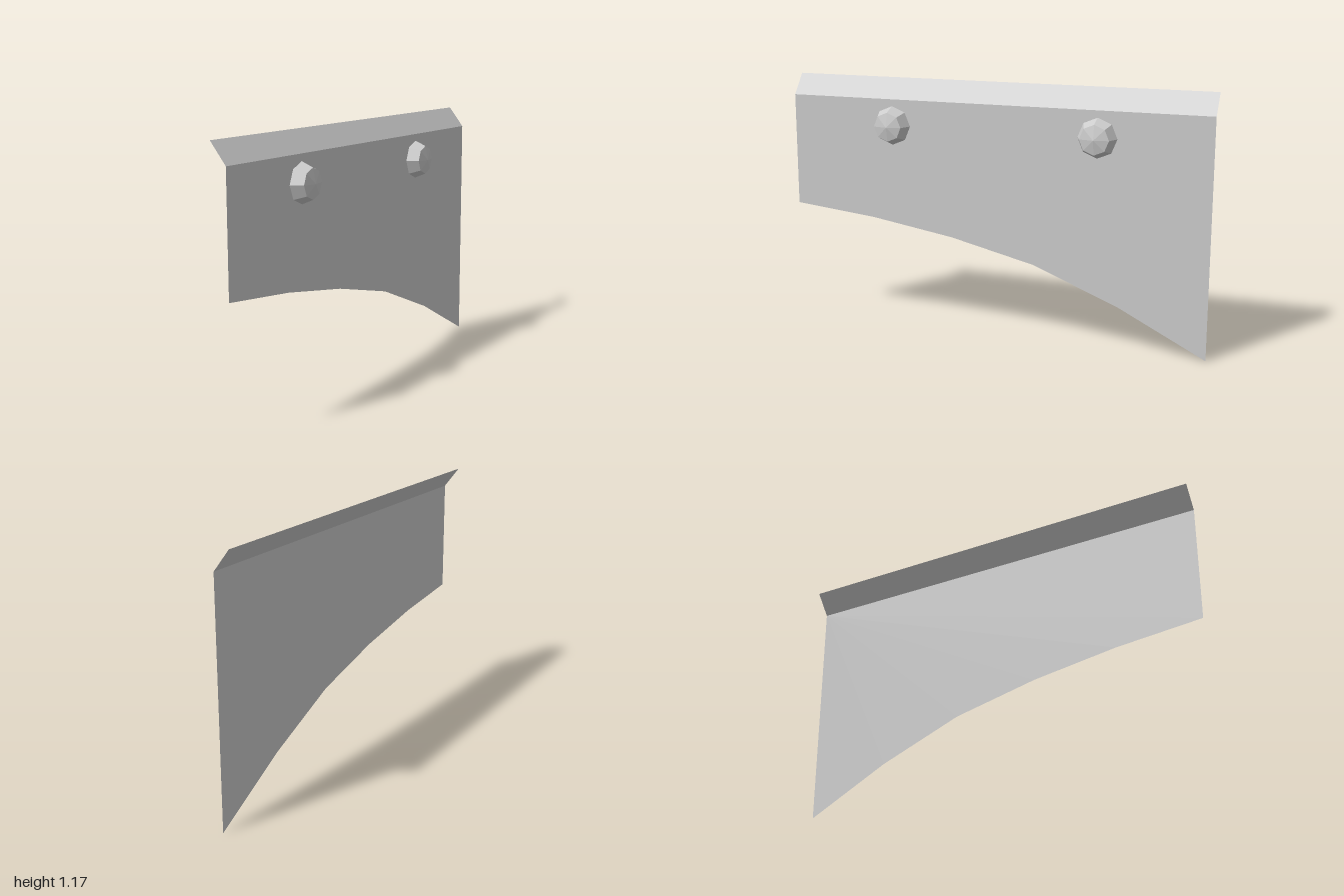
import * as THREE from 'three';

export function createModel() {
  const model = new THREE.Group();
  const grey = new THREE.MeshStandardMaterial({
    name: 'lightGrey', color: 0xcccccc, flatShading: true, side: THREE.DoubleSide,
  });
  const add = (name, geometry, x, y, z) => {
    const mesh = new THREE.Mesh(geometry, grey);
    mesh.name = name;
    mesh.position.set(x, y, z);
    model.add(mesh);
  };

  // Upright sheet with a curved lower edge, drawn front to back
  const foldY = 1.08;
  const lowerEdge = [[1, 0.553], [0.6, 0.513], [0.2, 0.45], [-0.2, 0.357], [-0.6, 0.2], [-1, 0]];
  const outline = new THREE.Shape([
    ...lowerEdge.map(([z, y]) => new THREE.Vector2(-z, y)),
    new THREE.Vector2(1, foldY),
    new THREE.Vector2(-1, foldY),
  ]);
  add('sidePanel', new THREE.ShapeGeometry(outline).rotateY(Math.PI / 2), 0, 0, 0);

  // Lip folded back along the top edge
  const lean = 0.073, rise = 0.094;
  const lip = new THREE.PlaneGeometry(2, Math.hypot(lean, rise))
    .rotateY(Math.PI / 2)
    .rotateZ(Math.atan2(lean, rise));
  add('topLip', lip, -lean / 2, foldY + rise / 2, 0);

  // Two faceted domed bolts on the outer face
  const profile = [[0.09, 0], [0.067, 0.055], [0, 0.069]].map(([r, h]) => new THREE.Vector2(r, h));
  const bolt = new THREE.LatheGeometry(profile, 8).rotateZ(-Math.PI / 2);
  add('frontBolt', bolt, 0, 0.958, 0.493);
  add('backBolt', bolt, 0, 0.958, -0.489);

  return model;
}
